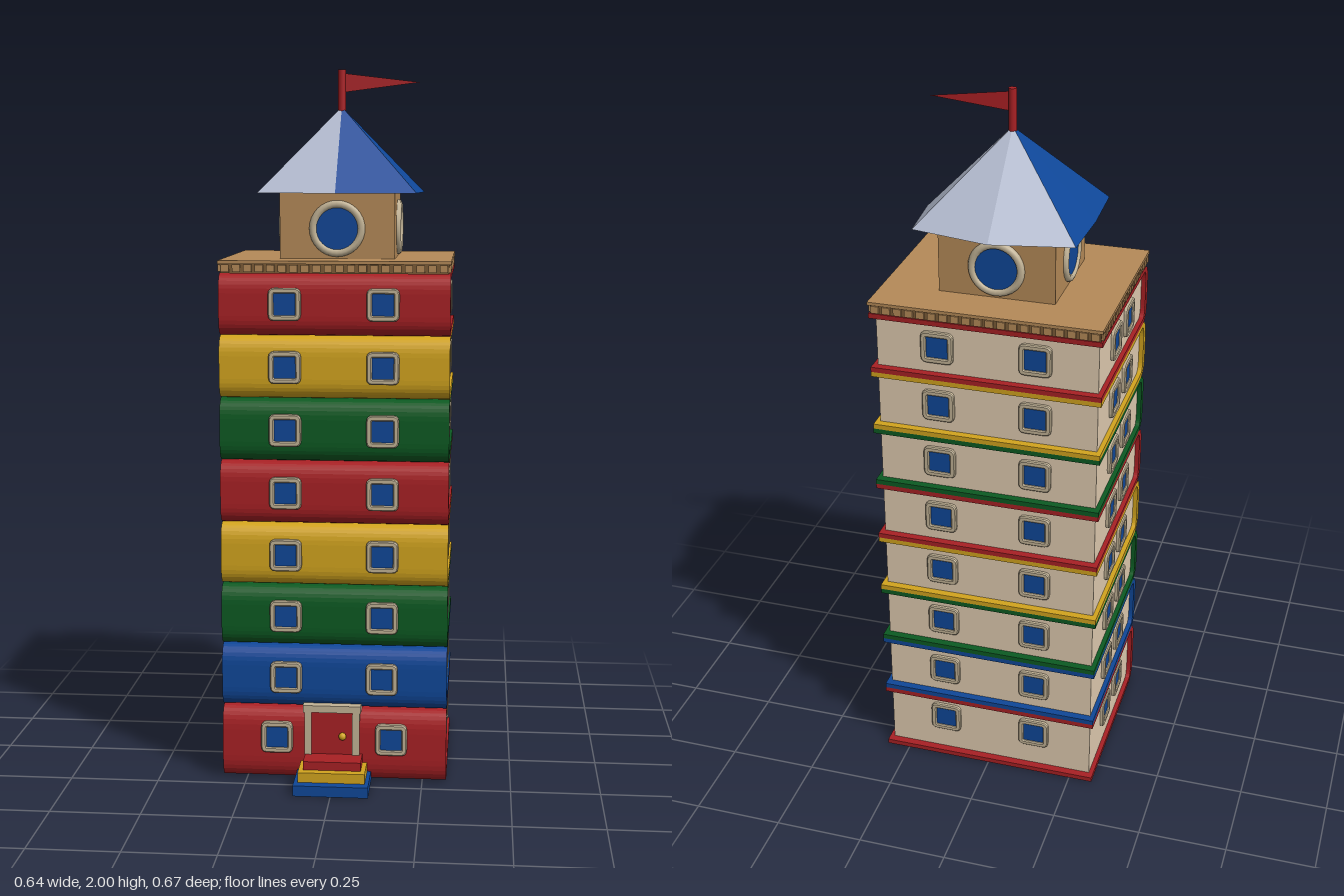
import * as THREE from 'three';
import { mergeGeometries } from 'three/addons/utils/BufferGeometryUtils.js';

const mat = (name, color) => {
  const m = new THREE.MeshStandardMaterial({ color });
  m.name = name;
  return m;
};

export function createModel() {
  const root = new THREE.Group();
  root.name = 'bookTower';
  const red = mat('red', 0xa82024), yellow = mat('yellow', 0xd2a41e), green = mat('green', 0x0c5a22);
  const blue = mat('blue', 0x0f4798), cream = mat('paper cream', 0xe0ccb0), tan = mat('tan', 0xb58a58);
  const brown = mat('brown', 0x7c5c36), grey = mat('roof grey', 0xb6bed2), stone = mat('frame beige', 0xc2b396);
  const flagRed = red.clone();
  flagRed.name = 'flag red';
  flagRed.side = THREE.DoubleSide;
  const CZ = -0.06; // centre of the tower in z

  const add = (parent, name, geo, material, x = 0, y = 0, z = 0) => {
    const m = new THREE.Mesh(geo, material);
    m.name = name;
    m.position.set(x, y, z);
    parent.add(m);
    return m;
  };
  const box = (w, h, d) => new THREE.BoxGeometry(w, h, d);

  // Extrude a (z, y) side profile along x, centred
  const alongX = (shape, width) =>
    new THREE.ExtrudeGeometry(shape, { depth: width, bevelEnabled: false, curveSegments: 8 })
      .translate(0, 0, -width / 2).rotateY(-Math.PI / 2);

  // Rounded front edge from (z, y0) up to (z, y1)
  const spineCurve = (s, back, front, y0, y1) => {
    const h = y1 - y0;
    s.lineTo(back, y0);
    s.quadraticCurveTo(front, y0, front, y0 + h * 0.32);
    s.lineTo(front, y1 - h * 0.32);
    s.quadraticCurveTo(front, y1, back, y1);
    return s;
  };

  // Window frames: square with rounded corners, and round
  const roundedSquare = (s, a, r) => {
    s.moveTo(-a + r, -a);
    s.lineTo(a - r, -a); s.quadraticCurveTo(a, -a, a, -a + r);
    s.lineTo(a, a - r); s.quadraticCurveTo(a, a, a - r, a);
    s.lineTo(-a + r, a); s.quadraticCurveTo(-a, a, -a, a - r);
    s.lineTo(-a, -a + r); s.quadraticCurveTo(-a, -a, -a + r, -a);
    return s;
  };
  const frameShape = roundedSquare(new THREE.Shape(), 0.042, 0.014);
  frameShape.holes.push(roundedSquare(new THREE.Path(), 0.033, 0.006));
  const frameGeo = new THREE.ExtrudeGeometry(frameShape, {
    depth: 0.02, bevelThickness: 0.003, bevelSize: 0.003, bevelSegments: 1, curveSegments: 3,
  }).translate(0, 0, -0.012);
  const paneGeo = box(0.07, 0.07, 0.008);
  const addWindow = (parent, x, y, z, ry) => {
    const w = new THREE.Group();
    w.name = 'window';
    add(w, 'windowFrame', frameGeo, stone);
    add(w, 'windowPane', paneGeo, blue, 0, 0, 0.001);
    w.position.set(x, y, z);
    w.rotation.y = ry;
    parent.add(w);
  };

  // Stacked books
  const levels = [0, 0.212, 0.392, 0.567, 0.743, 0.92, 1.096, 1.27, 1.443];
  const covers = [red, blue, green, yellow, red, green, yellow, red];
  covers.forEach((color, i) => {
    const book = new THREE.Group();
    book.name = 'book' + (i + 1);
    book.position.y = levels[i];
    root.add(book);
    const h = levels[i + 1] - levels[i], t = 0.014;

    const cover = spineCurve(new THREE.Shape().moveTo(-0.33, 0), 0.165, 0.21, 0, h);
    cover.lineTo(-0.33, h);
    cover.lineTo(-0.33, h - t);
    cover.lineTo(0.165, h - t);
    cover.quadraticCurveTo(0.186, h - t, 0.186, h * 0.66);
    cover.lineTo(0.186, h * 0.34);
    cover.quadraticCurveTo(0.186, t, 0.165, t);
    cover.lineTo(-0.33, t);
    add(book, 'cover', alongX(cover, 0.636), color);

    const pages = spineCurve(new THREE.Shape().moveTo(-0.308, t), 0.165, 0.186, t, h - t);
    pages.lineTo(-0.308, h - t);
    add(book, 'pages', alongX(pages, 0.61), cream);

    const y = i === 0 ? 0.128 : h / 2 + 0.002;
    for (const s of [-1, 1]) {
      addWindow(book, s * (i === 0 ? 0.162 : 0.135), y, 0.211, 0);
      addWindow(book, s * 0.135, y, -0.308, Math.PI);
      for (const z of [0.015, -0.135]) addWindow(book, s * 0.305, y, z, s * Math.PI / 2);
    }
  });

  // Terrace slab with a beaded rim
  add(root, 'terraceCore', box(0.626, 0.034, 0.532), brown, 0, 1.459, CZ - 0.001);
  add(root, 'terraceTop', box(0.638, 0.009, 0.545), tan, 0, 1.4725, CZ - 0.001);
  const beads = [];
  const n = 20;
  for (let i = 0; i < n; i++) {
    const f = (i + 0.5) / n - 0.5;
    for (const s of [-1, 1]) {
      beads.push(box(0.022, 0.02, 0.012).translate(f * 0.63, 1.456, CZ + s * 0.267));
      beads.push(box(0.012, 0.02, 0.018).translate(s * 0.313, 1.456, CZ + f * 0.535));
    }
  }
  add(root, 'terraceBeads', mergeGeometries(beads), tan);

  // Turret with a round window on each side
  const turret = new THREE.Group();
  turret.name = 'turret';
  turret.position.set(0, 0, CZ + 0.004);
  root.add(turret);
  add(turret, 'turretWalls', box(0.32, 0.19, 0.31), tan, 0, 1.567, 0);
  const ringGeo = new THREE.TorusGeometry(0.067, 0.011, 8, 32);
  const discGeo = new THREE.CylinderGeometry(0.064, 0.064, 0.008, 32).rotateX(Math.PI / 2);
  for (let i = 0; i < 4; i++) {
    const side = new THREE.Group();
    side.name = 'roundWindow';
    side.rotation.y = i * Math.PI / 2;
    turret.add(side);
    const d = i % 2 ? 0.162 : 0.157;
    add(side, 'roundFrame', ringGeo, stone, 0, 1.56, d);
    add(side, 'roundPane', discGeo, blue, 0, 1.56, d);
  }

  // Faceted tent roof, panels running round the rim from the front
  const rim = [[0, 0.17], [0.22, 0.125], [0.235, -0.075], [0.22, -0.245],
    [0, -0.29], [-0.222, -0.245], [-0.228, -0.06], [-0.22, 0.125]];
  const panelColors = [blue, blue, grey, grey, grey, blue, blue, grey];
  const tri = (...pts) => {
    const g = new THREE.BufferGeometry();
    g.setAttribute('position', new THREE.Float32BufferAttribute(pts.flat(), 3));
    g.computeVertexNormals();
    return g;
  };
  const roof = new THREE.Group();
  roof.name = 'roof';
  root.add(roof);
  rim.forEach(([x, z], i) => {
    const [x2, z2] = rim[(i + 1) % rim.length];
    add(roof, 'roofPanel', tri([x, 1.658, z], [x2, 1.658, z2], [0, 1.897, -0.058]), panelColors[i]);
    add(roof, 'roofUnderside', tri([x2, 1.658, z2], [x, 1.658, z], [0, 1.658, -0.058]), grey);
  });

  // Flag
  add(root, 'flagPole', new THREE.CylinderGeometry(0.011, 0.011, 0.12, 12), red, 0, 1.94, -0.058);
  add(root, 'flag', tri([0.005, 1.937, -0.057], [0.22, 1.965, -0.074], [0.005, 1.99, -0.057]), flagRed);

  // Entrance steps
  [[0.21, 0, 0.03, 0.335, blue], [0.188, 0.03, 0.058, 0.307, yellow], [0.162, 0.058, 0.082, 0.283, red]]
    .forEach(([w, y0, y1, front, color]) =>
      add(root, 'step', box(w, y1 - y0, front - 0.18), color, 0, (y0 + y1) / 2, (front + 0.18) / 2));

  // Door with surround and knob
  const door = new THREE.Group();
  door.name = 'door';
  door.position.x = -0.005;
  root.add(door);
  add(door, 'doorLeaf', box(0.13, 0.13, 0.02), red, 0, 0.145, 0.205);
  for (const s of [-1, 1]) add(door, 'doorJamb', box(0.02, 0.134, 0.04), stone, s * 0.068, 0.147, 0.203);
  add(door, 'doorLintel', box(0.164, 0.02, 0.042), stone, 0, 0.216, 0.204);
  add(door, 'doorKnob', new THREE.SphereGeometry(0.011, 12, 8), yellow, 0.03, 0.137, 0.222);

  return root;
}
